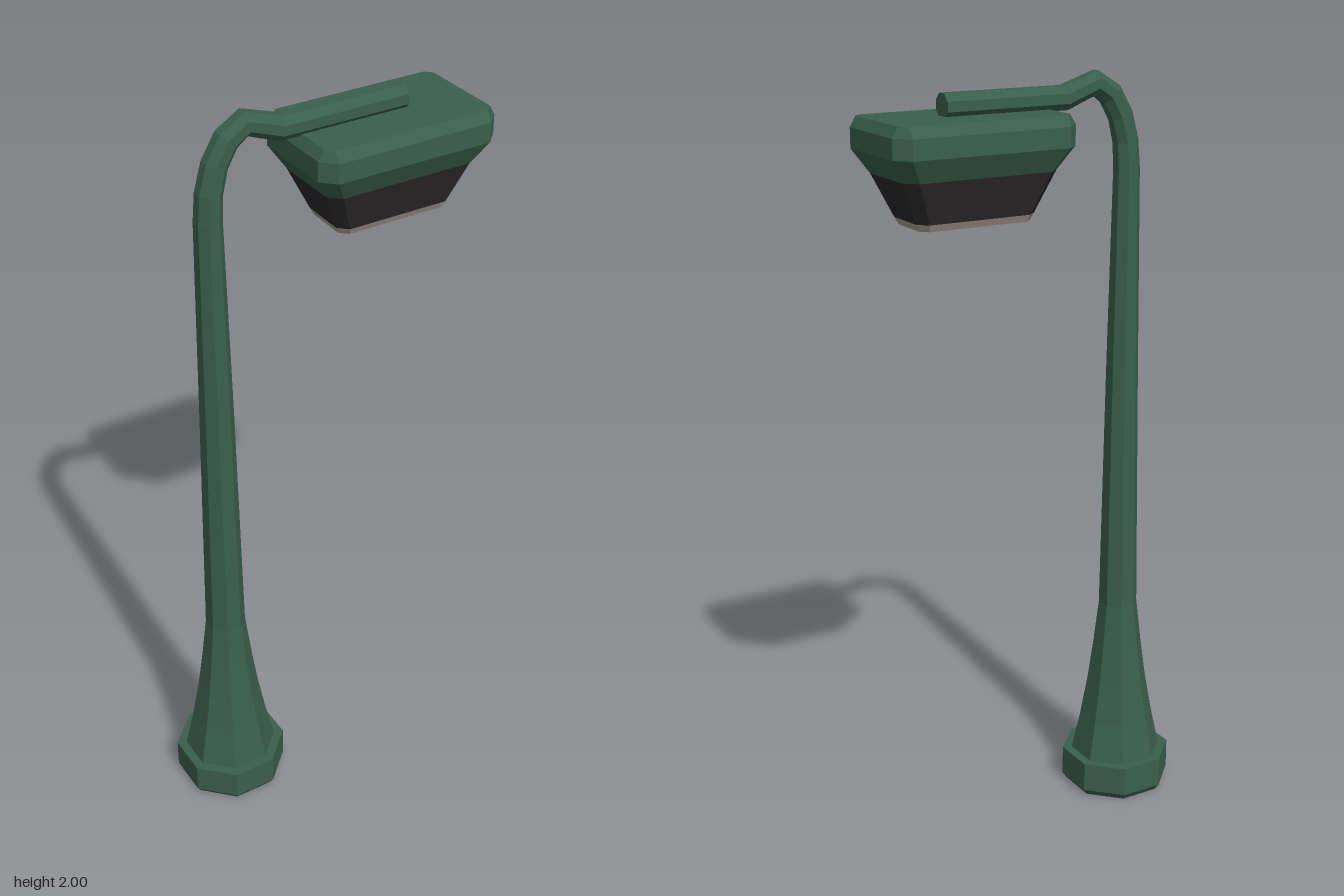
import * as THREE from 'three';

// Octagon as [across, depth] pairs: a rectangle with cut corners
function octagon(hx, hz, cut) {
  return [
    [hx, -hz + cut], [hx, hz - cut], [hx - cut, hz], [-hx + cut, hz],
    [-hx, hz - cut], [-hx, -hz + cut], [-hx + cut, -hz], [hx - cut, -hz],
  ];
}
const regular = (a) => octagon(a, a, a * (2 - Math.SQRT2));

// Skin a list of rings of [x, y, z] points and close both ends
function loft(rings) {
  const pos = [];
  const tri = (a, b, c) => pos.push(...a, ...b, ...c);
  const n = rings[0].length;
  for (let r = 0; r < rings.length - 1; r++) {
    const lo = rings[r], hi = rings[r + 1];
    for (let i = 0; i < n; i++) {
      const j = (i + 1) % n;
      tri(lo[i], hi[i], hi[j]);
      tri(lo[i], hi[j], lo[j]);
    }
  }
  const first = rings[0], last = rings[rings.length - 1];
  for (let i = 1; i < n - 1; i++) {
    tri(first[0], first[i], first[i + 1]);
    tri(last[0], last[i + 1], last[i]);
  }
  const geo = new THREE.BufferGeometry();
  geo.setAttribute('position', new THREE.Float32BufferAttribute(pos, 3));
  geo.computeVertexNormals();
  return geo;
}

// Level ring around a vertical axis at x = cx
const level = (cx, y, corners) => corners.map(([u, z]) => [cx + u, y, z]);

// Octagonal sweep along [x, y, apothem] stations in the xy plane
function sweep(path) {
  return loft(path.map(([x, y, a], i) => {
    const p = path[Math.max(i - 1, 0)], q = path[Math.min(i + 1, path.length - 1)];
    const inDir = new THREE.Vector2(x - p[0], y - p[1]).normalize();
    const outDir = new THREE.Vector2(q[0] - x, q[1] - y).normalize();
    const t = inDir.add(outDir).normalize();
    return regular(a).map(([u, z]) => [x + t.y * u, y - t.x * u, z]);
  }));
}

export function createModel() {
  const group = new THREE.Group();
  const material = (name, color) => {
    const m = new THREE.MeshStandardMaterial({ color });
    m.name = name;
    return m;
  };
  const green = material('dark green paint', 0x3a5f4e);
  const black = material('black housing', 0x2b292a);
  const glass = material('warm grey lens', 0xa59a8f);

  const add = (name, geo, mat) => {
    const mesh = new THREE.Mesh(geo, mat);
    mesh.name = name;
    group.add(mesh);
  };

  // Foot with a bevelled lower edge
  const px = -0.288;
  add('base', loft([[0, 0.128], [0.018, 0.14], [0.1, 0.14]]
    .map(([y, a]) => level(px, y, regular(a)))), green);

  // Flared post running into the bent arm
  add('poleAndArm', sweep([
    [px, 0.1, 0.116], [px, 0.21, 0.094], [px, 0.32, 0.076], [px, 0.43, 0.062],
    [px, 0.55, 0.049], [px, 1.2, 0.04], [px - 0.002, 1.75, 0.032],
    [-0.285, 1.82, 0.031], [-0.268, 1.885, 0.03], [-0.236, 1.94, 0.03],
    [-0.19, 1.97, 0.03], [-0.1, 1.938, 0.03], [0.237, 1.938, 0.03],
  ]), green);

  // Lamp head: stacked cut-corner sections [y, half width, half depth, corner cut]
  const hx = 0.18;
  const head = (rows) => loft(rows.map(([y, w, d, c]) => level(hx, y, octagon(w, d, c))));
  add('headCover', head([
    [1.78, 0.208, 0.117, 0.03], [1.838, 0.245, 0.149, 0.035],
    [1.888, 0.245, 0.149, 0.035], [1.914, 0.229, 0.133, 0.018],
  ]), green);
  add('headHousing', head([[1.675, 0.161, 0.083, 0.024], [1.78, 0.208, 0.117, 0.03]]), black);
  add('lens', head([[1.657, 0.152, 0.074, 0.02], [1.675, 0.161, 0.083, 0.024]]), glass);

  return group;
}
